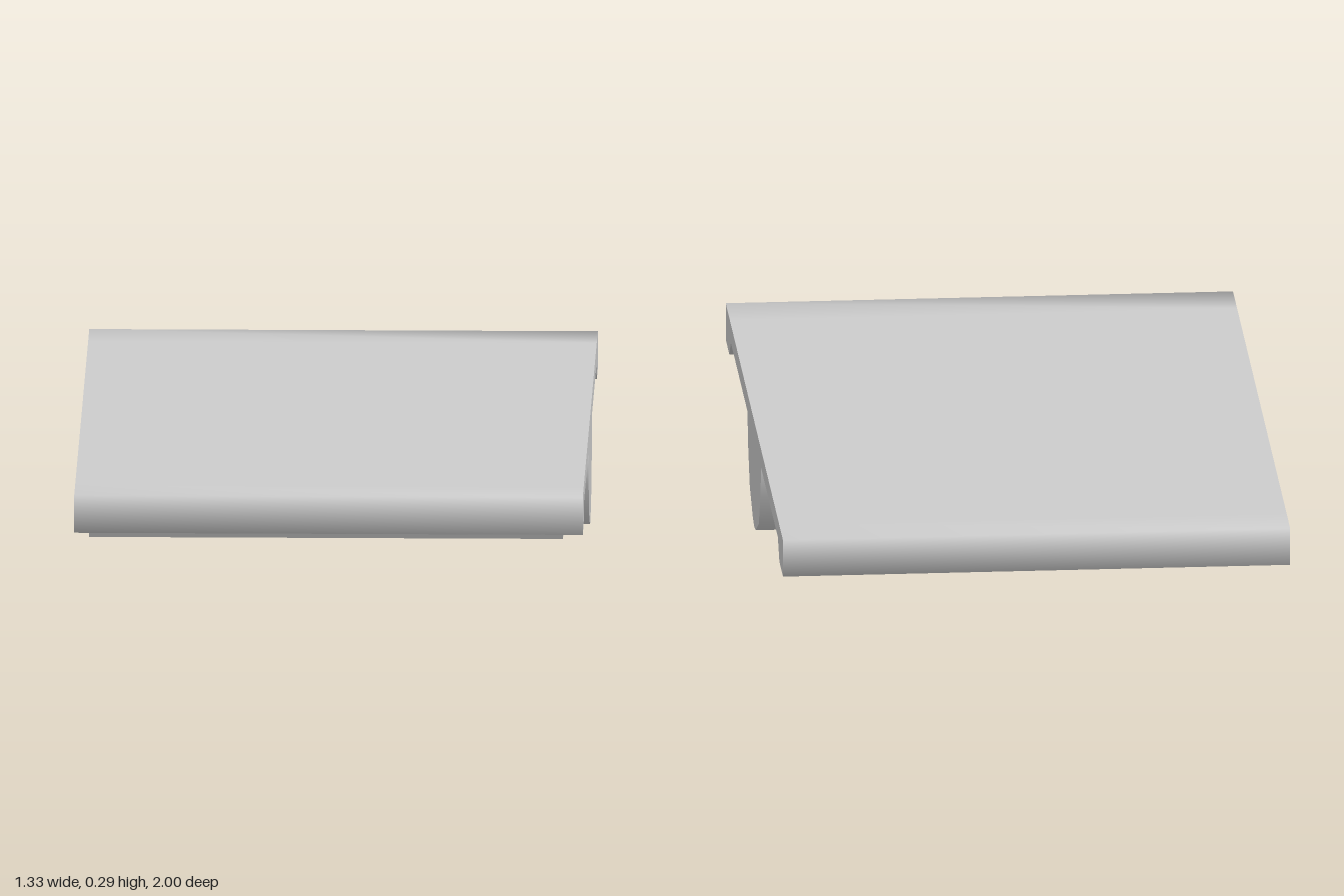
import * as THREE from 'three';
import { mergeGeometries } from 'three/addons/utils/BufferGeometryUtils.js';

const material = new THREE.MeshStandardMaterial({ color: 0xcccccc });
const HALF_WIDTH = 0.665;

// Runs a counter-clockwise [u, y] profile along x (u points to the back, -z).
// Side faces get smooth or flat normals; the two end caps stay flat.
function bar(name, profile, x0, x1, smooth) {
  const n = profile.length;
  const positions = [], indices = [];
  for (const x of [x0, x1]) for (const [u, y] of profile) positions.push(u, y, x);
  for (let i = 0; i < n; i++) {
    const j = (i + 1) % n;
    indices.push(i, j, n + j, i, n + j, n + i);
  }
  let sides = new THREE.BufferGeometry();
  sides.setAttribute('position', new THREE.Float32BufferAttribute(positions, 3));
  sides.setIndex(indices);
  if (smooth) sides.computeVertexNormals();
  sides = sides.toNonIndexed();
  if (!smooth) sides.computeVertexNormals();

  const shape = new THREE.Shape(profile.map(([u, y]) => new THREE.Vector2(u, y)));
  const endCap = () => new THREE.ShapeGeometry(shape).toNonIndexed().deleteAttribute('uv');
  const near = endCap().translate(0, 0, x1);
  // Mirroring by a half turn would flip the profile, so reverse the winding instead
  const far = endCap().translate(0, 0, x0);
  const p = far.attributes.position;
  for (let i = 0; i < p.count; i += 3) {
    const a = new THREE.Vector3().fromBufferAttribute(p, i + 1);
    const b = new THREE.Vector3().fromBufferAttribute(p, i + 2);
    p.setXYZ(i + 1, b.x, b.y, b.z);
    p.setXYZ(i + 2, a.x, a.y, a.z);
  }
  far.computeVertexNormals();

  const geometry = mergeGeometries([sides, near, far]).rotateY(Math.PI / 2);
  const mesh = new THREE.Mesh(geometry, material);
  mesh.name = name;
  return mesh;
}

export function createModel() {
  const group = new THREE.Group();
  group.name = 'deckPanel';

  // Thin deck with a thickened lip along the front and back edges
  group.add(bar('deck', [
    [-1, 0.19], [-0.875, 0.19], [-0.82, 0.24], [-0.7, 0.24],
    [0.7, 0.24], [0.82, 0.24], [0.875, 0.19], [1, 0.19],
    [1, 0.29], [0.86, 0.29], [-0.86, 0.29], [-1, 0.29],
  ], -HALF_WIDTH, HALF_WIDTH, true));

  // Lower blocks either side of the trough
  group.add(bar('frontUnderBlock', [
    [-0.86, 0.205], [-0.825, 0.14], [-0.18, 0.14], [-0.18, 0.245], [-0.82, 0.245],
  ], -0.63, 0.61, false));
  group.add(bar('backUnderBlock', [
    [0.18, 0.14], [0.79, 0.14], [0.84, 0.21], [0.82, 0.245], [0.18, 0.245],
  ], -0.63, 0.61, false));

  // Rounded trough shell under the middle of the deck
  const outer = [
    [-0.245, 0.245], [-0.215, 0.15], [-0.16, 0.06], [-0.05, 0.008], [0, 0],
    [0.05, 0.008], [0.155, 0.06], [0.21, 0.15], [0.238, 0.245],
  ];
  const inner = [
    [-0.21, 0.245], [-0.185, 0.145], [-0.125, 0.065], [-0.05, 0.035],
    [0.05, 0.035], [0.12, 0.065], [0.18, 0.145], [0.205, 0.245],
  ];
  group.add(bar('troughShell', [...outer, ...inner.slice().reverse()], -0.66, HALF_WIDTH, true));

  // Filling, set back at the right end and flush at the left
  group.add(bar('troughFill', inner, -0.645, HALF_WIDTH, false));

  return group;
}
